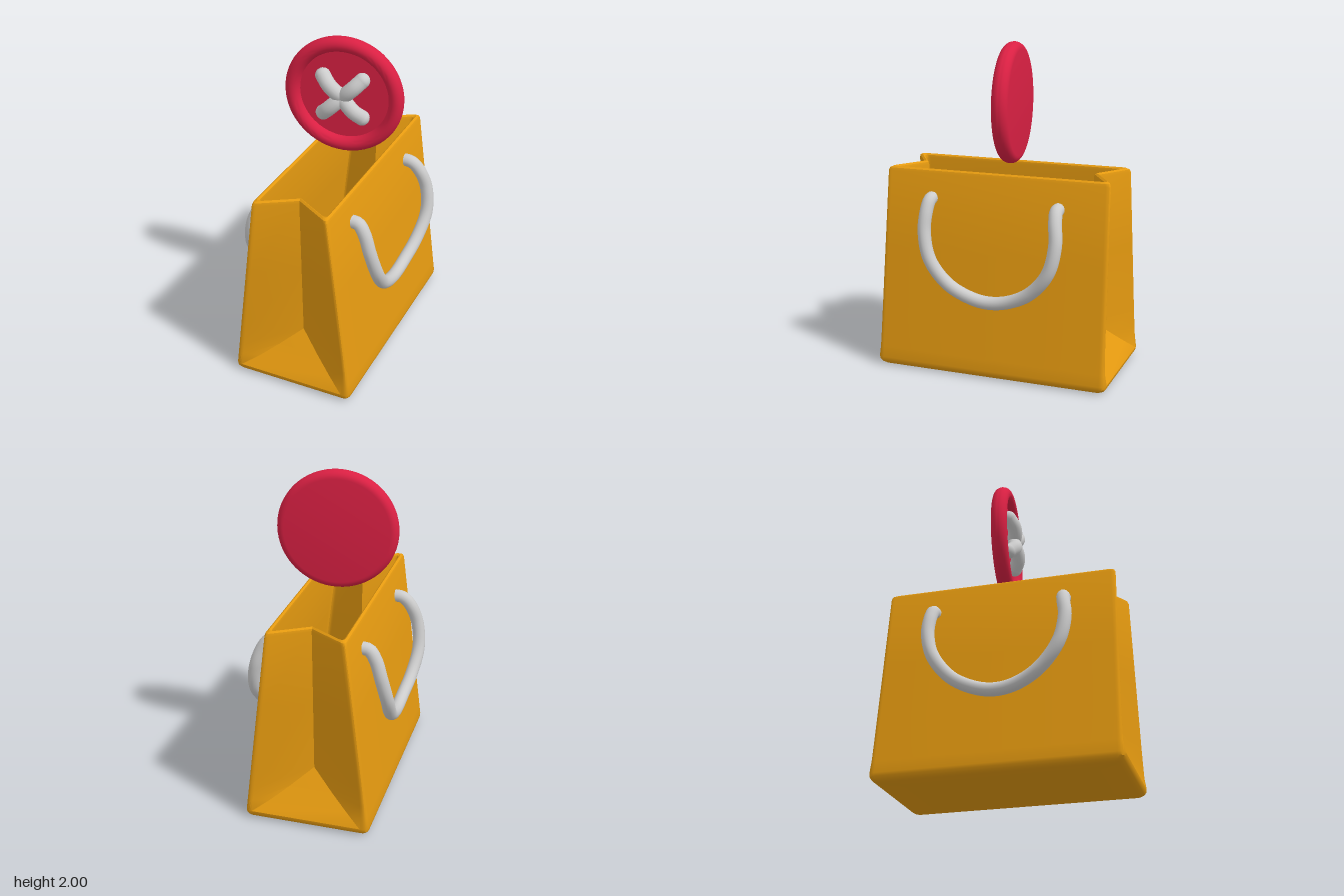
import * as THREE from 'three';
import { toCreasedNormals } from 'three/addons/utils/BufferGeometryUtils.js';

const mat = (color) => new THREE.MeshStandardMaterial({ color, roughness: 0.6 });
const lerp = THREE.MathUtils.lerp;

function add(parent, name, geometry, material) {
  const mesh = new THREE.Mesh(geometry, material);
  mesh.name = name;
  parent.add(mesh);
  return mesh;
}

// One horizontal section of the bag: rounded corners, folded gussets at both ends.
function bagSection(y, inset) {
  const s = y / 1.24;
  const t = THREE.MathUtils.clamp((y - 0.05) / 0.26, 0, 1); // how far the fold has closed
  const cx = lerp(0.388, 0.237, s) - inset;
  const cz = lerp(0.737, 0.717, s) - inset * lerp(1, 1.78, t);
  const valley = lerp(0.552, 0.572, (y - 0.31) / 0.93) - inset * 1.17;
  const kx = (cx - 0.05) * (1 - t);
  const kz = t < 1 ? lerp(cz, 0.552 - inset * 1.17, t) : valley;
  const half = [[-cx, cz], [-kx, kz], [kx, kz], [cx, cz]];
  const poly = [...half, ...half.map(([x, z]) => [-x, -z])].map((p) => new THREE.Vector2(...p));
  const out = [];
  poly.forEach((p, i) => {
    if (i % 4 === 1 || i % 4 === 2) return out.push(p);
    const towards = (q) => {
      const d = q.clone().sub(p);
      return p.clone().addScaledVector(d.normalize(), Math.min(0.04, q.distanceTo(p)));
    };
    const curve = new THREE.QuadraticBezierCurve(towards(poly[(i + 7) % 8]), p, towards(poly[(i + 1) % 8]));
    out.push(...curve.getPoints(6));
  });
  return out.map((p) => new THREE.Vector3(p.x, y, p.y));
}

// Skin the sections from the outer base, over the rim, down to the inner floor.
function bagGeometry() {
  const levels = [
    [0, 0.05], [0.004, 0.03], [0.015, 0.014], [0.03, 0.004], [0.05, 0],
    [0.12, 0], [0.2, 0], [0.31, 0], [0.75, 0], [1.215, 0],
    [1.231, 0.004], [1.24, 0.015], [1.231, 0.026], [1.215, 0.03],
    [0.75, 0.03], [0.31, 0.03], [0.2, 0.03], [0.05, 0.03],
  ];
  const rings = levels.map(([y, inset]) => bagSection(y, inset));
  const collapsed = (ring) => ring.map((p) => new THREE.Vector3(0, p.y, 0));
  rings.unshift(collapsed(rings[0]));
  rings.push(collapsed(rings[rings.length - 1]));
  const n = rings[0].length, index = [];
  for (let i = 0; i < rings.length - 1; i++) {
    for (let j = 0; j < n; j++) {
      const k = (j + 1) % n;
      const a = i * n + j, b = i * n + k, c = a + n, d = b + n;
      index.push(a, b, d, a, d, c);
    }
  }
  const g = new THREE.BufferGeometry().setFromPoints(rings.flat());
  g.setIndex(index);
  return toCreasedNormals(g, 0.5);
}

export function createModel() {
  const model = new THREE.Group();
  model.name = 'shoppingBag';
  const orange = mat(0xe59a10), red = mat(0xda2043), grey = mat(0xcccccc);

  // Paper bag, turned very slightly
  orange.side = THREE.DoubleSide;
  add(model, 'bag', bagGeometry(), orange).rotation.y = -0.02;

  // Cord handles: hanging loops, the second turned half round
  const path = new THREE.CatmullRomCurve3([
    [0.24, 1.068, 0.41], [0.285, 1.06, 0.41], [0.325, 1.0, 0.415], [0.36, 0.88, 0.415],
    [0.388, 0.72, 0.37], [0.384, 0.58, 0.26], [0.377, 0.505, 0.12],
    [0.375, 0.483, 0], [0.382, 0.505, -0.13], [0.405, 0.58, -0.27],
    [0.425, 0.72, -0.385], [0.405, 0.88, -0.42], [0.36, 1.0, -0.405],
    [0.31, 1.055, -0.395], [0.24, 1.062, -0.395],
  ].map((p) => new THREE.Vector3(...p)));
  const cord = new THREE.TubeGeometry(path, 100, 0.04, 16);
  add(model, 'leftHandle', cord, grey);
  add(model, 'rightHandle', cord, grey).rotation.y = Math.PI;

  // Button floating above the bag
  const button = new THREE.Group();
  button.name = 'button';
  button.position.set(0.005, 1.635, -0.025);
  button.rotation.y = 0.09;
  model.add(button);

  // Disc with flat back and raised round rim
  const profile = [new THREE.Vector2(0, -0.05)];
  for (let i = 0; i <= 20; i++) {
    const a = -Math.PI / 2 + (i / 20) * Math.PI * 1.5;
    profile.push(new THREE.Vector2(0.32 + 0.045 * Math.cos(a), 0.05 * Math.sin(a)));
  }
  profile.push(new THREE.Vector2(0.275, 0), new THREE.Vector2(0, 0));
  const disc = toCreasedNormals(new THREE.LatheGeometry(profile, 64), 0.6);
  disc.rotateX(Math.PI / 2);
  add(button, 'buttonDisc', disc, red);

  // Crossed thread: four arched lobes meeting in the middle
  const lobePath = new THREE.CatmullRomCurve3([
    new THREE.Vector3(0, 0, 0.03), new THREE.Vector3(0.05, 0, 0.055),
    new THREE.Vector3(0.11, 0, 0.057), new THREE.Vector3(0.17, 0, 0.03),
  ]);
  const lobe = new THREE.TubeGeometry(lobePath, 16, 0.046, 16);
  const tip = new THREE.SphereGeometry(0.046, 16, 12).translate(0.17, 0, 0.03);
  for (let i = 0; i < 4; i++) {
    const stitch = new THREE.Group();
    stitch.name = 'stitch';
    stitch.rotation.z = Math.PI / 4 + (i * Math.PI) / 2;
    button.add(stitch);
    add(stitch, 'thread', lobe, grey);
    add(stitch, 'threadEnd', tip, grey);
  }
  return model;
}
